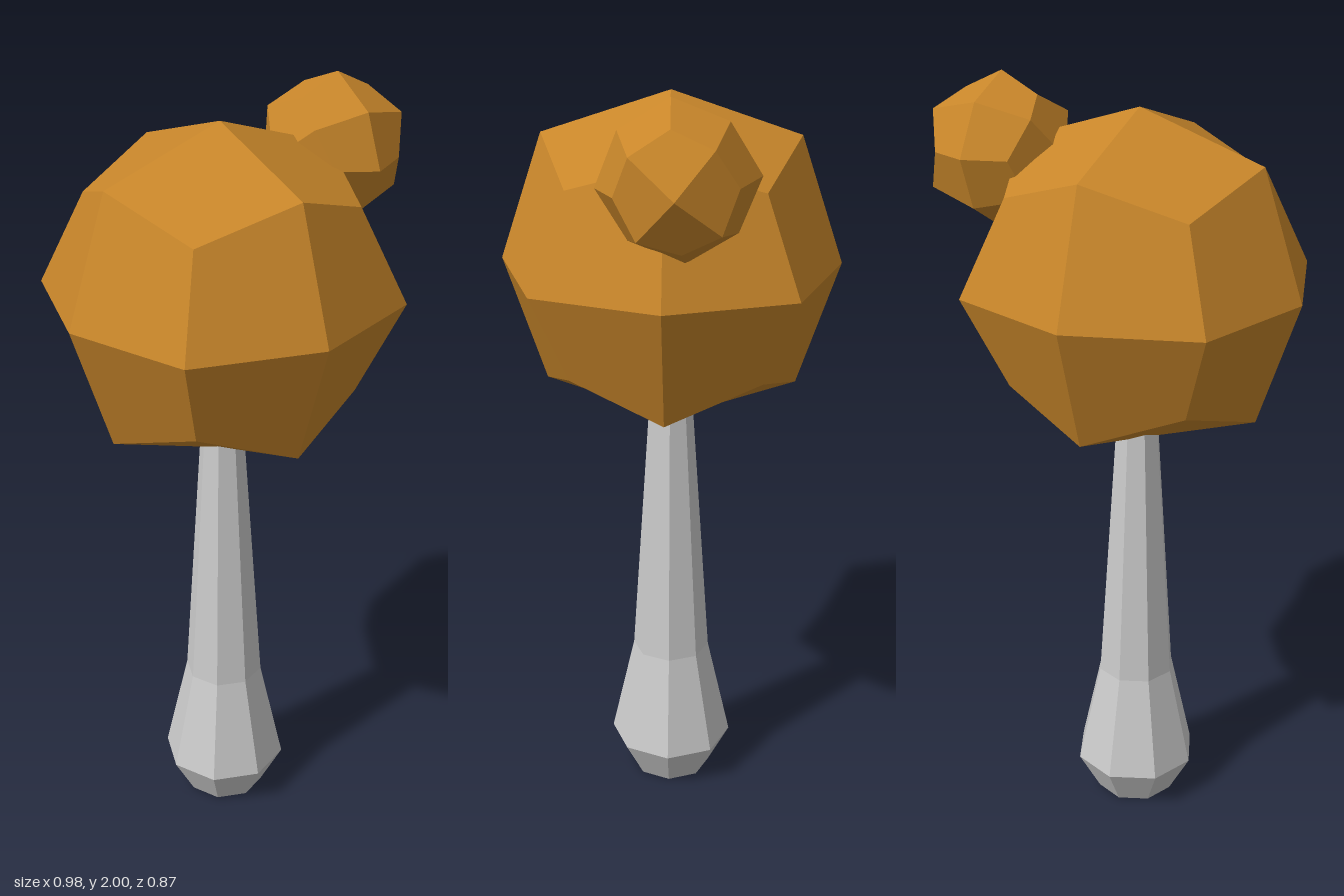
import * as THREE from 'three';

const grey = new THREE.MeshStandardMaterial({ color: 0xcccccc, flatShading: true });
const brown = new THREE.MeshStandardMaterial({ color: 0xc8862a });

// Ball of 24 kite faces: a cube smoothed once. Each kite has one flat normal.
function kiteBall(radius) {
  const reach = [0, 1, 0.75, 0.5556]; // coordinate size for face, edge and corner points
  const positions = [];
  const normals = [];
  for (const sx of [-1, 1]) for (const sy of [-1, 1]) for (const sz of [-1, 1]) {
    const signs = [sx, sy, sz];
    const point = (...axes) => {
      const p = [0, 0, 0];
      for (const a of axes) p[a] = signs[a] * reach[axes.length] * radius;
      return new THREE.Vector3(...p);
    };
    for (let a = 0; a < 3; a++) {
      const u = (a + 1) % 3, v = (a + 2) % 3;
      const centre = point(a), corner = point(0, 1, 2);
      let e1 = point(a, u), e2 = point(a, v);
      if (sx * sy * sz < 0) [e1, e2] = [e2, e1];
      const normal = corner.clone().sub(centre).cross(e2.clone().sub(e1)).normalize();
      for (const p of [centre, e1, corner, centre, corner, e2]) {
        positions.push(p.x, p.y, p.z);
        normals.push(normal.x, normal.y, normal.z);
      }
    }
  }
  const geometry = new THREE.BufferGeometry();
  geometry.setAttribute('position', new THREE.Float32BufferAttribute(positions, 3));
  geometry.setAttribute('normal', new THREE.Float32BufferAttribute(normals, 3));
  return geometry;
}

function addMesh(group, name, geometry, material, x, y, z) {
  const mesh = new THREE.Mesh(geometry, material);
  mesh.name = name;
  mesh.position.set(x, y, z);
  group.add(mesh);
  return mesh;
}

export function createModel() {
  const model = new THREE.Group();
  model.name = 'tree';

  // Eight-sided trunk, flared near the ground and running up into the crown
  const profile = [[0, 0], [0.107, 0], [0.166, 0.11], [0.104, 0.39], [0.052, 1.2], [0, 1.2]]
    .map(([r, y]) => new THREE.Vector2(r, y));
  addMesh(model, 'trunk', new THREE.LatheGeometry(profile, 8), grey, -0.057, 0, 0);

  // Large crown and the small tilted clump on its left shoulder
  addMesh(model, 'crown', kiteBall(0.433), brown, -0.059, 1.51, 0);
  const clump = addMesh(model, 'smallClump', kiteBall(0.182), brown, 0.307, 1.808, -0.036);
  clump.rotation.x = THREE.MathUtils.degToRad(-40);

  return model;
}
